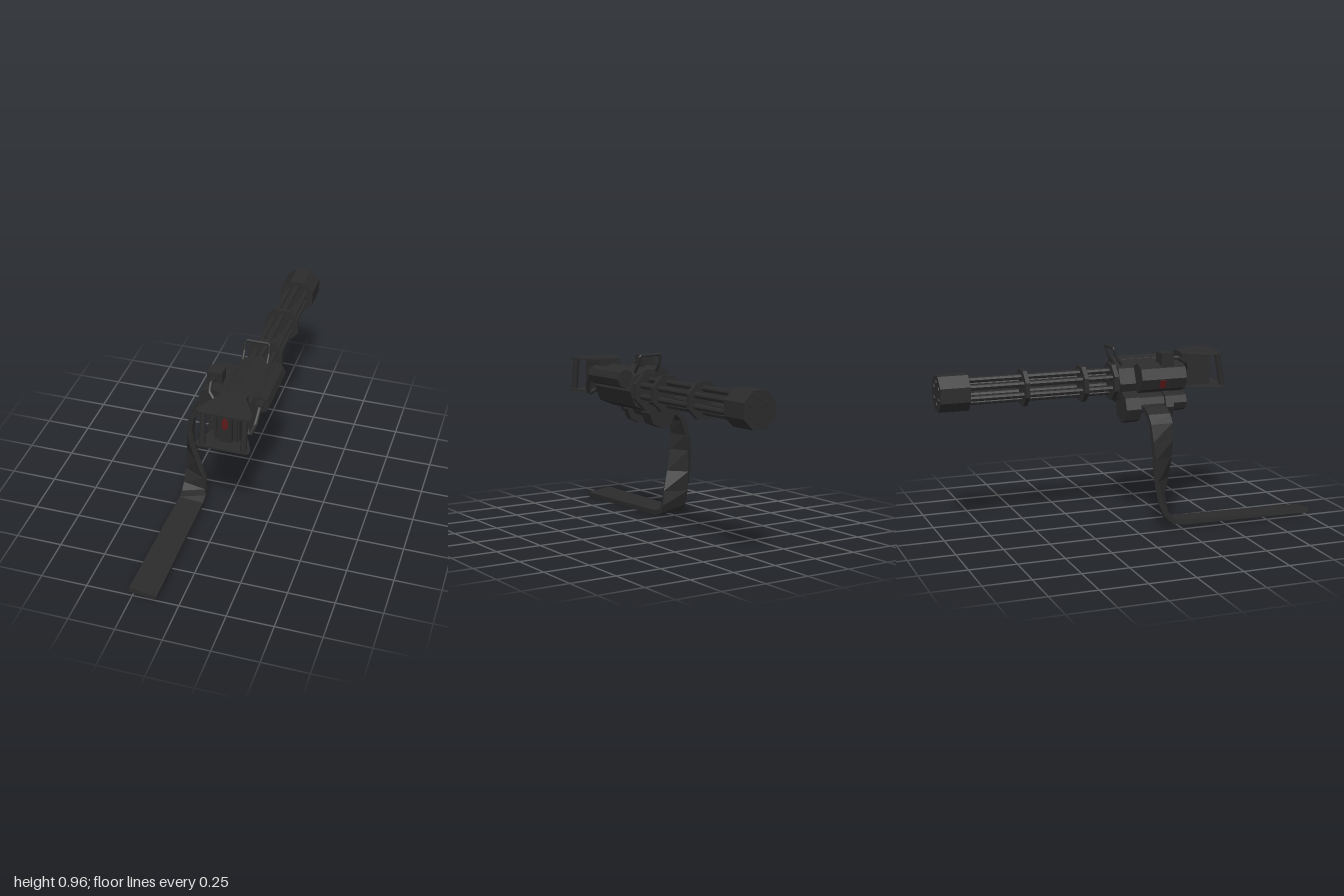
import * as THREE from 'three';

export function createModel() {
  const model = new THREE.Group();
  const gunmetal = new THREE.MeshStandardMaterial({ color: 0x2b2b2b });
  gunmetal.name = 'gunmetal';
  const red = new THREE.MeshStandardMaterial({ color: 0x5c1a1a });
  red.name = 'darkRed';

  function add(name, geometry, material = gunmetal) {
    const mesh = new THREE.Mesh(geometry, material);
    mesh.name = name;
    model.add(mesh);
    return mesh;
  }
  // faceted cylinder along z, from z0 to z1, with a corner pointing down
  function drum(name, x, y, z0, z1, r, sides = 8, turn = 0) {
    const g = new THREE.CylinderGeometry(r, r, z1 - z0, sides).toNonIndexed();
    g.rotateX(Math.PI / 2).rotateZ(turn);
    g.computeVertexNormals();
    g.translate(x, y, (z0 + z1) / 2);
    return add(name, g);
  }
  function box(name, x0, x1, y0, y1, z0, z1) {
    const g = new THREE.BoxGeometry(x1 - x0, y1 - y0, z1 - z0);
    g.translate((x0 + x1) / 2, (y0 + y1) / 2, (z0 + z1) / 2);
    return add(name, g);
  }
  // bent rod made of straight runs
  function tube(name, points, r) {
    const path = new THREE.CurvePath();
    const p = points.map(a => new THREE.Vector3(...a));
    for (let i = 1; i < p.length; i++) path.add(new THREE.LineCurve3(p[i - 1], p[i]));
    return add(name, new THREE.TubeGeometry(path, (p.length - 1) * 6, r, 8));
  }

  // rotating barrel cluster
  const cx = 0.1, cy = 0.768, flat = Math.PI / 8;
  for (let i = 0; i < 6; i++) {
    const a = Math.PI / 2 + i * Math.PI / 3;
    drum('barrel', cx + 0.059 * Math.cos(a), cy + 0.059 * Math.sin(a), -1, 0, 0.016);
  }
  drum('muzzle', cx, cy, -0.995, -0.835, 0.102, 8, flat);
  drum('barrelClamp', cx, cy, -0.54, -0.517, 0.102, 8, flat);
  drum('barrelClamp', cx, cy, -0.214, -0.19, 0.102, 8, flat);
  drum('frontCollar', cx, cy, -0.045, -0.02, 0.104, 8, flat);
  drum('collarNeck', cx, cy, -0.03, 0.02, 0.088, 8, flat);

  // body and side canisters
  drum('body', cx, cy, -0.02, 0.345, 0.114);
  drum('leftCanister', 0.22, 0.832, 0.01, 0.325, 0.05);
  drum('rightCanister', -0.03, 0.8, 0.07, 0.325, 0.08);
  box('canisterBridge', -0.01, 0.05, 0.74, 0.85, 0.08, 0.32);
  box('sightBox', -0.08, 0, 0.845, 0.933, 0.19, 0.262);

  // feed drum beneath the body
  drum('feedDrumFront', 0, 0.64, -0.01, 0.075, 0.085);
  drum('feedDrumCore', 0, 0.655, 0.07, 0.35, 0.053);
  drum('feedDrumFlange', 0, 0.64, 0.22, 0.265, 0.08);
  box('feedBracket', 0.01, 0.1, 0.66, 0.73, 0.05, 0.33);

  // red mark on the outer face of the canister
  const mark = add('canisterMark', new THREE.BoxGeometry(0.006, 0.045, 0.035), red);
  mark.position.set(-0.03 - 0.075 * Math.cos(flat), 0.8 - 0.075 * Math.sin(flat), 0.19);
  mark.rotation.z = flat;

  // carrying handle
  tube('carryHandle', [
    [0.035, 0.865, 0.005], [0.035, 0.905, -0.025], [0.035, 0.948, -0.038], [0.045, 0.958, -0.04],
    [0.157, 0.958, -0.04], [0.167, 0.948, -0.038], [0.167, 0.905, -0.025], [0.167, 0.865, 0.005]
  ], 0.008);

  // hoses
  tube('sightHose', [[-0.04, 0.9, 0.25], [-0.045, 0.9, 0.3], [-0.04, 0.87, 0.34], [0, 0.83, 0.365], [0.06, 0.83, 0.37]], 0.011);
  tube('canisterHose', [[0.225, 0.84, 0.32], [0.23, 0.84, 0.36], [0.222, 0.77, 0.41], [0.2, 0.715, 0.43], [0.17, 0.74, 0.4], [0.13, 0.76, 0.35]], 0.012);
  drum('hoseFitting', 0.225, 0.84, 0.32, 0.365, 0.024);

  // rear grip: neck, core, flared plates and slanted posts
  drum('gripNeck', cx + 0.003, 0.8, 0.34, 0.37, 0.05);
  box('gripCore', 0.037, 0.17, 0.725, 0.905, 0.36, 0.515);
  box('gripPanel', 0.07, 0.138, 0.725, 0.905, 0.51, 0.54);
  for (const x of [0.045, 0.15]) box('gripRib', x, x + 0.012, 0.725, 0.905, 0.51, 0.528);
  function plate(name, y, end) {
    const s = new THREE.Shape();
    s.moveTo(0.055, -0.36);
    [[-0.037, -end + 0.035], [-0.037, -end + 0.01], [-0.025, -end], [0.231, -end],
      [0.243, -end + 0.01], [0.243, -end + 0.035], [0.151, -0.36]].forEach(p => s.lineTo(...p));
    const g = new THREE.ExtrudeGeometry(s, { depth: 0.009, bevelEnabled: false });
    g.rotateX(-Math.PI / 2).translate(0, y, 0);
    add(name, g);
  }
  plate('gripTopPlate', 0.9, 0.57);
  plate('gripBottomPlate', 0.719, 0.6);
  for (const x of [-0.004, 0.21]) {
    tube('gripPost', [[x, 0.724, 0.578], [x, 0.905, 0.548]], 0.017);
  }
  const button = add('trigger', new THREE.CylinderGeometry(1, 1, 0.006, 16).rotateX(Math.PI / 2), red);
  button.scale.set(0.017, 0.034, 1);
  button.position.set(0.104, 0.84, 0.543);

  // twisting ammunition belt: centre, then half-width vector
  const stations = [
    [-0.03, 0.645, 0.142, 0, 0, 0.062], [-0.11, 0.638, 0.142, 0, 0, 0.062],
    [-0.16, 0.615, 0.142, 0, 0, 0.062], [-0.193, 0.575, 0.142, 0.002, 0, 0.062],
    [-0.213, 0.49, 0.14, 0.01, 0, 0.06], [-0.216, 0.4, 0.14, 0.024, 0, 0.054],
    [-0.203, 0.28, 0.141, 0.042, 0, 0.045], [-0.188, 0.17, 0.148, 0.06, 0, 0.03],
    [-0.187, 0.09, 0.166, 0.066, 0, 0.014], [-0.187, 0.05, 0.195, 0.068, 0, 0],
    [-0.187, 0.037, 0.25, 0.068, -0.005, 0], [-0.195, 0.026, 0.997, 0.074, -0.01, 0]
  ];
  const centres = stations.map(s => new THREE.Vector3(s[0], s[1], s[2]));
  const rings = stations.map((s, i) => {
    const w = new THREE.Vector3(s[3], s[4], s[5]);
    const t = centres[Math.min(i + 1, stations.length - 1)].clone().sub(centres[Math.max(i - 1, 0)]);
    const n = t.cross(w).normalize().multiplyScalar(0.014);
    return [[1, 1], [-1, 1], [-1, -1], [1, -1]].map(([a, b]) =>
      centres[i].clone().addScaledVector(w, a).addScaledVector(n, b));
  });
  const verts = [];
  const quad = (a, b, c, d) => [a, b, c, a, c, d].forEach(p => verts.push(p.x, p.y, p.z));
  for (let i = 0; i + 1 < rings.length; i++) {
    for (let k = 0; k < 4; k++) {
      const m = (k + 1) % 4;
      quad(rings[i][k], rings[i][m], rings[i + 1][m], rings[i + 1][k]);
    }
  }
  const last = rings[rings.length - 1];
  quad(last[0], last[1], last[2], last[3]);
  quad(rings[0][3], rings[0][2], rings[0][1], rings[0][0]);
  const belt = new THREE.BufferGeometry();
  belt.setAttribute('position', new THREE.Float32BufferAttribute(verts, 3));
  belt.computeVertexNormals();
  add('ammoBelt', belt);

  return model;
}
